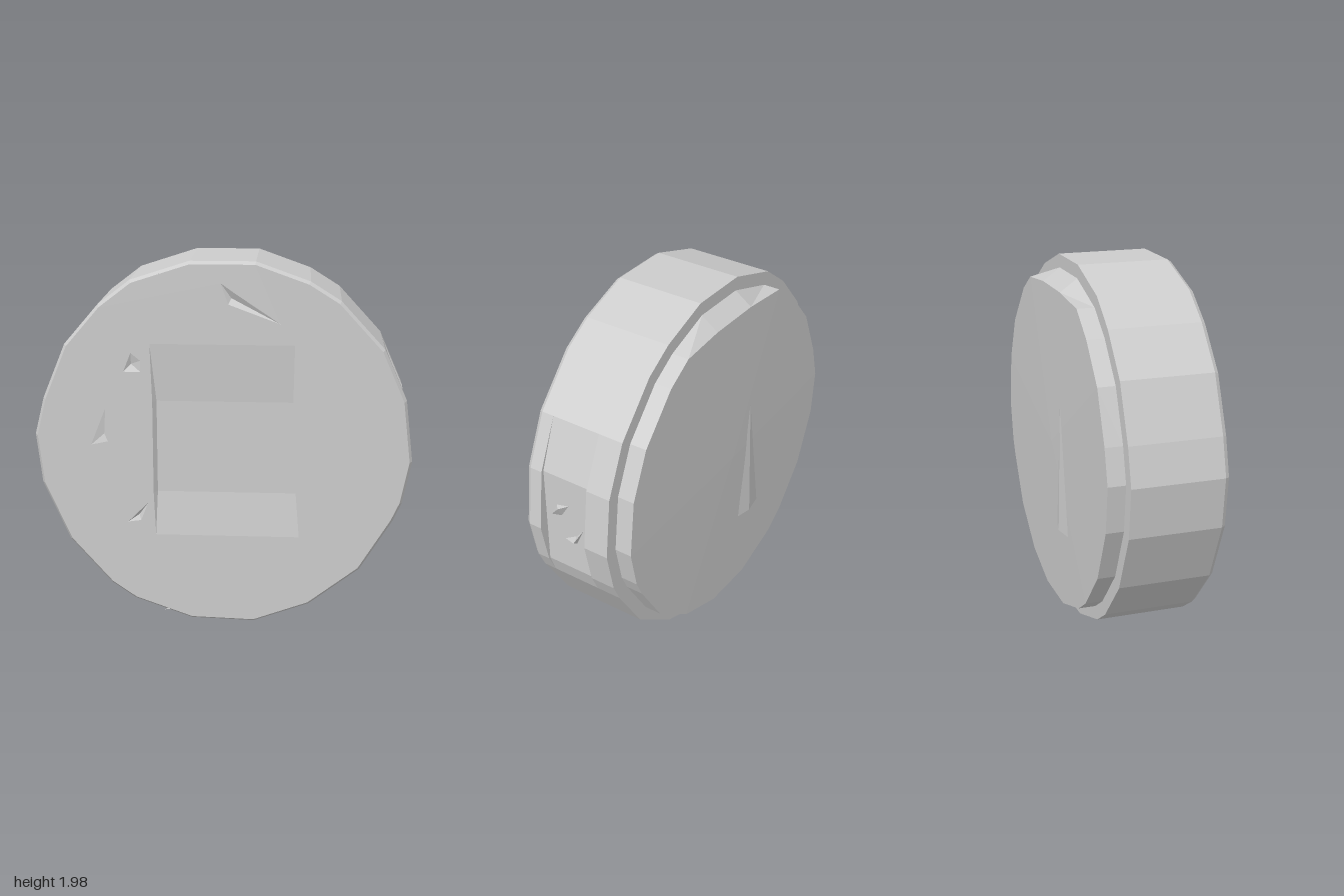
import * as THREE from 'three';

const CY = 0.99;
const FRONT = 0.312;

// Irregular rim outline, counter-clockwise seen from the front
const OUTLINE = [
  [0.17, 1.98], [-0.17, 1.98], [-0.48, 1.88], [-0.65, 1.75], [-0.83, 1.54], [-0.95, 1.25],
  [-1, 1.05], [-0.97, 0.78], [-0.83, 0.46], [-0.61, 0.21], [-0.48, 0.12], [-0.17, 0.01],
  [0.17, 0], [0.47, 0.11], [0.74, 0.32], [0.91, 0.6], [0.955, 0.7], [1, 0.93],
  [0.96, 1.26], [0.84, 1.53], [0.61, 1.78], [0.45, 1.88],
];

const scaled = (s) => OUTLINE.map(([x, y]) => [x * s, CY + (y - CY) * s]);
const ring = (pts, z) => pts.map(([x, y]) => [x, y, z]);

// Flat-faceted geometry from a list of triangles
function facets(tris) {
  const g = new THREE.BufferGeometry();
  g.setAttribute('position', new THREE.Float32BufferAttribute(tris.flat(2), 3));
  g.computeVertexNormals();
  return g;
}

// Skin between successive rings, ordered back to front
function loft(rings) {
  const tris = [];
  for (let i = 0; i < rings.length - 1; i++) {
    const a = rings[i], b = rings[i + 1], n = a.length;
    for (let k = 0; k < n; k++) {
      const m = (k + 1) % n;
      tris.push([a[k], a[m], b[m]], [a[k], b[m], b[k]]);
    }
  }
  return facets(tris);
}

const fan = (pts, apex) => facets(pts.map((p, k) => [p, pts[(k + 1) % pts.length], apex]));

export function createModel() {
  const group = new THREE.Group();
  const grey = new THREE.MeshStandardMaterial({ color: 0xcccccc });
  const add = (name, geometry) => {
    const mesh = new THREE.Mesh(geometry, grey);
    mesh.name = name;
    group.add(mesh);
    return mesh;
  };

  // Main drum, with a flat-bottomed slot cut in its left side
  const notched = OUTLINE.map(([x, y]) => [Math.min(x, 0.945), y]);
  const faceRim = scaled(0.985);
  const capRim = scaled(0.927);
  add('drum', loft([
    ring(capRim, -0.2), ring(OUTLINE, -0.2), ring(OUTLINE, -0.06), ring(notched, -0.06),
    ring(notched, 0.22), ring(OUTLINE, 0.22), ring(OUTLINE, 0.29), ring(faceRim, FRONT),
  ]));

  // Stepped back cap, chamfered at the top and bottom
  const capFace = capRim.map(([x, y]) => [x, Math.min(1.84, Math.max(0.08, y))]);
  add('backCap', loft([
    ring(OUTLINE.map(() => [0, CY]), -0.305), ring(capFace, -0.294), ring(capRim, -0.2),
  ]));

  // Thin wedge on the back
  const base = [[-0.08, 0.53, -0.3], [-0.28, 0.53, -0.3], [-0.17, 1.25, -0.304]];
  add('backRidge', fan(base, [-0.17, 0.53, -0.319]));

  // Front face with a sunken panel and shallow dents
  const face = new THREE.Shape(faceRim.map(([x, y]) => new THREE.Vector2(x, y)));
  const cut = (pts) => face.holes.push(new THREE.Path(pts.map(([x, y]) => new THREE.Vector2(x, y))));

  const dents = [
    { rim: [[-0.01, 1.87], [0.03, 1.76], [0.3, 1.66], [0.06, 1.82]], apex: [0.045, 1.79, 0.292] },
    { rim: [[-0.52, 1.4], [-0.43, 1.4], [-0.43, 1.46], [-0.48, 1.5]], apex: [-0.48, 1.44, 0.297] },
    { rim: [[-0.7, 1.0], [-0.61, 1.02], [-0.62, 1.2]], apex: [-0.63, 1.06, 0.302] },
    { rim: [[-0.51, 0.57], [-0.44, 0.58], [-0.4, 0.68]], apex: [-0.45, 0.61, 0.3] },
    { rim: [[-0.32, 0.06], [-0.03, 0.11], [-0.03, 0.22], [-0.15, 0.17]], apex: [-0.05, 0.14, 0.295] },
    { rim: [[-0.33, 1.915], [0, 1.93], [0.03, 1.95], [-0.14, 1.948]], apex: [-0.1, 1.94, 0.3] },
  ];
  for (const { rim, apex } of dents) {
    cut(rim);
    add('faceDent', fan(ring(rim, FRONT), apex));
  }

  // Panel floor rises to the face at both ends, between two side walls
  const levels = [[0.5, -0.36, 0.41, FRONT], [0.74, -0.37, 0.39, 0.287],
    [1.24, -0.37, 0.37, 0.287], [1.55, -0.38, 0.375, FRONT]];
  cut([...levels.map(([y, , r]) => [r, y]), ...levels.map(([y, l]) => [l, y]).reverse()]);
  const floor = [];
  for (let i = 0; i < 3; i++) {
    const [y0, l0, r0, z0] = levels[i], [y1, l1, r1, z1] = levels[i + 1];
    const quad = (a, b, c, d) => floor.push([a, b, c], [a, c, d]);
    const inset = 0.02;
    const i0 = i === 0 ? 0 : inset, i1 = i === 2 ? 0 : inset;
    quad([l0 + i0, y0, z0], [r0, y0, z0], [r1, y1, z1], [l1 + i1, y1, z1]);
    quad([l0, y0, FRONT], [l0 + i0, y0, z0], [l1 + i1, y1, z1], [l1, y1, FRONT]);
    quad([r0, y0, z0], [r0, y0, FRONT], [r1, y1, FRONT], [r1, y1, z1]);
  }
  add('sunkenPanel', facets(floor));
  add('frontFace', new THREE.ShapeGeometry(face)).position.z = FRONT;

  // Small chips standing in the side slot
  const chips = [
    { rim: [[0.943, 1.0, 0.19], [0.943, 1.02, 0.12], [0.943, 1.1, 0.07], [0.943, 1.08, 0.15]], apex: [0.975, 1.08, 0.12] },
    { rim: [[0.943, 0.88, 0.11], [0.943, 0.88, 0.03], [0.943, 0.99, -0.02], [0.943, 0.93, 0.03]], apex: [0.975, 0.9, 0.03] },
  ];
  for (const { rim, apex } of chips) add('slotChip', fan(rim, apex));

  return group;
}
